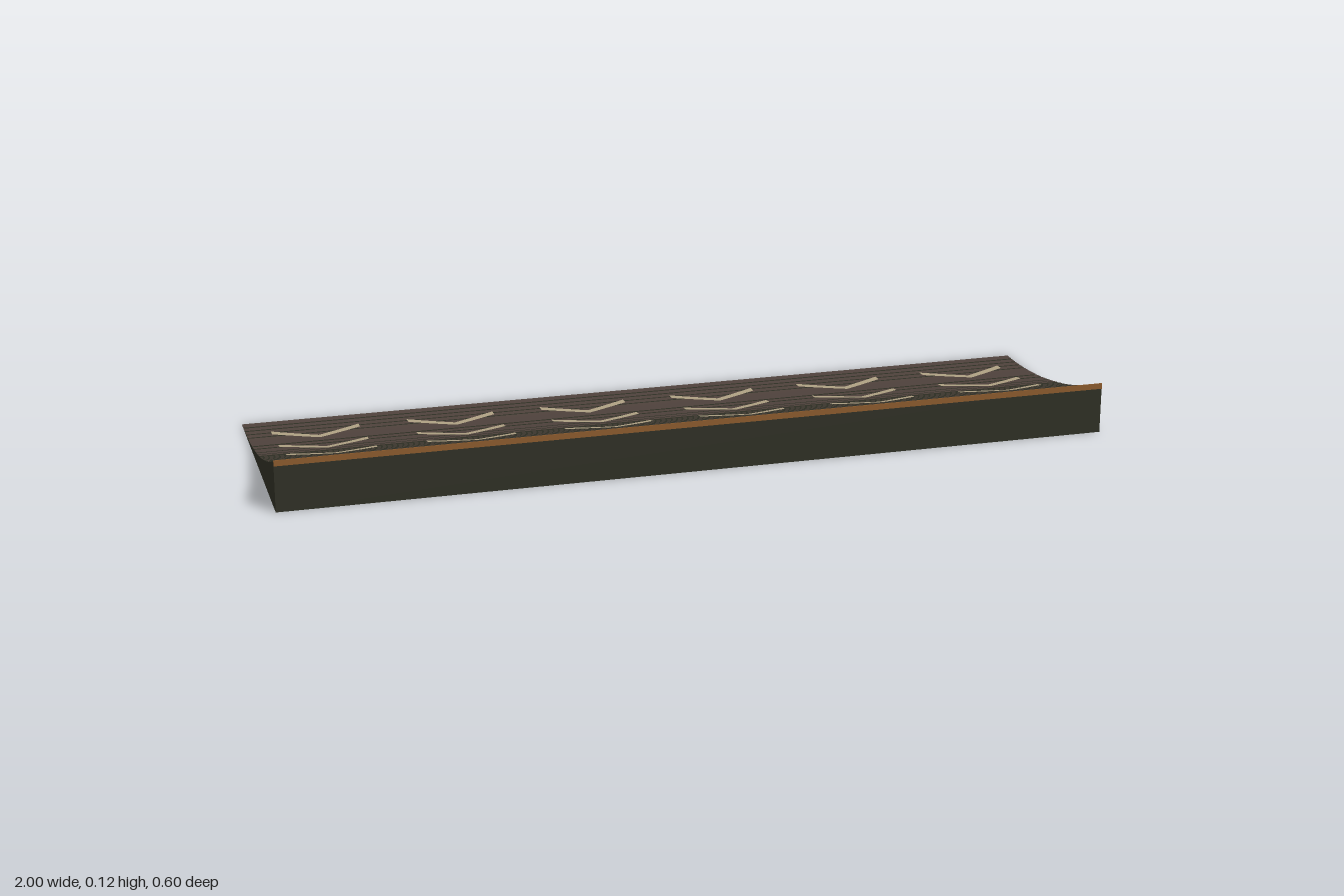
import * as THREE from 'three';
import { mergeGeometries } from 'three/addons/utils/BufferGeometryUtils.js';

const HALF = 0.3, HEIGHT = 0.124, FRONT = 0.299;

// Concave ramp profile: height at depth z
const rise = z => HEIGHT * ((z + HALF) / (2 * HALF)) ** 2;

// Thin sheet lying on the ramp; zAt(u) shifts the sheet along z across its width
function sheet(x0, x1, z0, z1, lift, zAt = () => 0, nx = 1) {
  const nz = Math.max(1, Math.ceil((z1 - z0) / 0.02));
  const g = new THREE.PlaneGeometry(1, 1, nx, nz);
  g.rotateX(-Math.PI / 2);
  const p = g.attributes.position;
  for (let i = 0; i < p.count; i++) {
    const u = p.getX(i) + 0.5;
    const z = z0 + (z1 - z0) * (p.getZ(i) + 0.5) + zAt(u);
    p.setXYZ(i, x0 + (x1 - x0) * u, rise(z) + lift, z);
  }
  g.computeVertexNormals();
  return g;
}

export function createModel() {
  const group = new THREE.Group();
  const mat = (name, color, side = THREE.FrontSide) => {
    const m = new THREE.MeshStandardMaterial({ color, side });
    m.name = name;
    return m;
  };
  const olive = mat('darkOlive', 0x2e2f24);
  const brown = mat('deckBrown', 0x4f423c, THREE.DoubleSide);
  const tan = mat('chevronTan', 0xb0a284, THREE.DoubleSide);
  const gold = mat('dashGold', 0xb58a3c, THREE.DoubleSide);
  const rust = mat('lipRust', 0x8a5a2c);
  const add = (name, geo, material) => {
    const m = new THREE.Mesh(geo, material);
    m.name = name;
    group.add(m);
  };

  // Solid wedge
  const shape = new THREE.Shape();
  shape.moveTo(-HALF, 0);
  shape.lineTo(FRONT, 0);
  for (let i = 0; i <= 40; i++) {
    const z = FRONT - (FRONT + HALF) * i / 40;
    shape.lineTo(z, rise(z));
  }
  const wedge = new THREE.ExtrudeGeometry(shape, { depth: 2, bevelEnabled: false });
  wedge.rotateY(-Math.PI / 2).translate(1, 0, 0);
  add('wedgeBody', wedge, olive);

  // Brown planks, the gaps between them showing the dark body
  const planks = [
    [-0.3, -0.274], [-0.267, -0.247], [-0.24, -0.218], [-0.211, -0.188], [-0.181, -0.104],
    [-0.094, -0.072], [-0.062, -0.024], [-0.016, 0.006], [0.013, 0.03], [0.052, 0.059],
    [0.073, 0.08], [0.095, 0.102], [0.118, 0.125], [0.142, 0.149], [0.167, 0.174],
    [0.192, 0.198], [0.244, 0.251],
  ];
  add('deckPlanks', mergeGeometries(planks.map(([a, b]) => sheet(-1, 1, a, b, 0.0008))), brown);

  // Three rows of six chevrons pointing uphill
  const chevrons = [];
  for (let row = 0; row < 3; row++) {
    for (let col = 0; col < 6; col++) {
      const x = -0.833 + col / 3, z = -0.222 + row * 0.133;
      chevrons.push(sheet(x - 0.107, x + 0.107, z, z + 0.025, 0.002,
        u => 0.068 * (1 - Math.abs(2 * u - 1)), 12));
    }
  }
  add('chevrons', mergeGeometries(chevrons), tan);

  // Warning dashes along the high edge
  const dashes = [];
  for (let i = 0; i < 18; i++) {
    const x = -1 + i / 9;
    dashes.push(sheet(x, x + 1 / 18, 0.274, 0.298, 0.001));
  }
  add('edgeDashes', mergeGeometries(dashes), gold);

  // Strip along the top of the front face
  const lip = new THREE.BoxGeometry(2, 0.014, 0.002);
  lip.translate(0, 0.118, FRONT);
  add('frontLip', lip, rust);

  return group;
}
